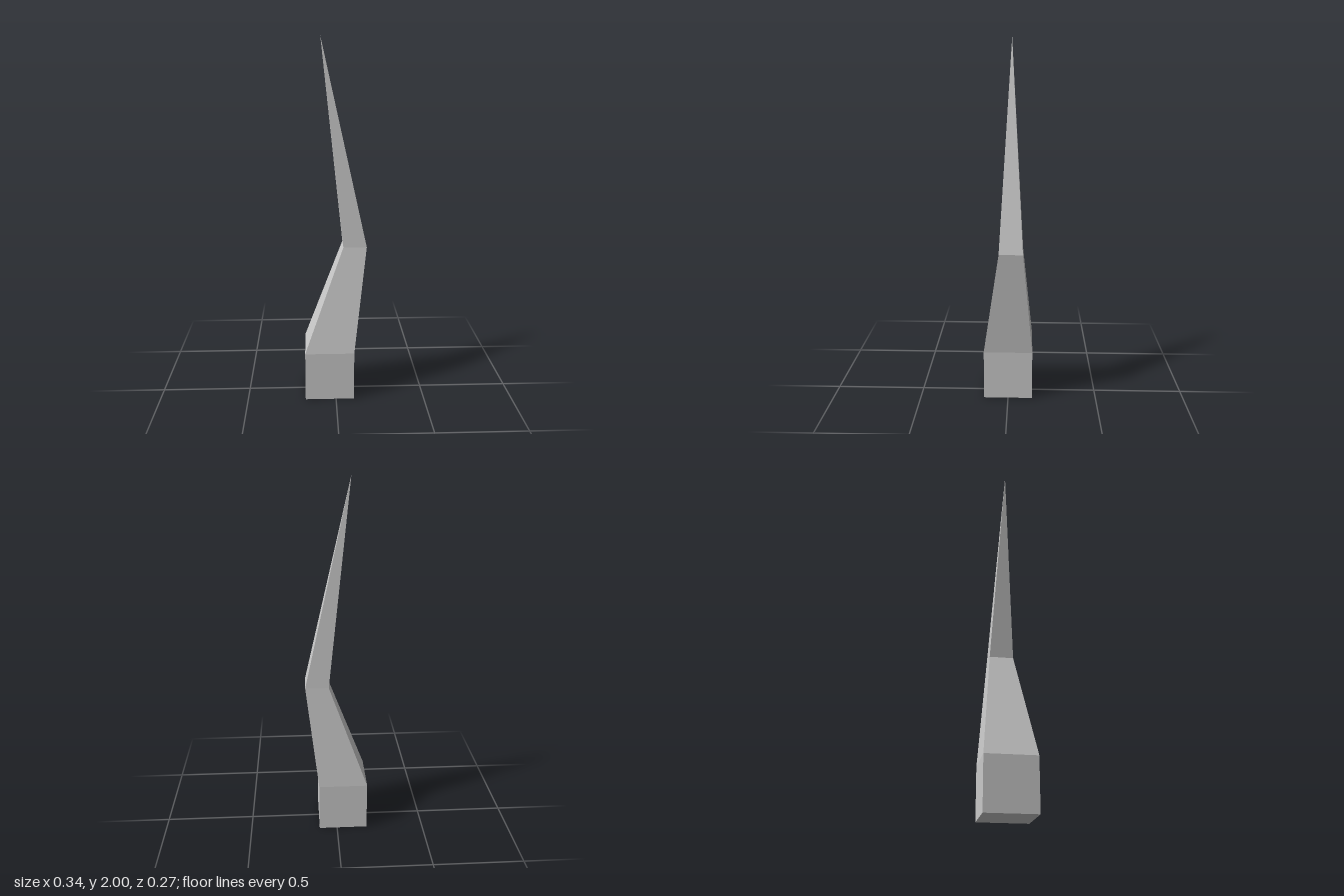
import * as THREE from 'three';

// Four corners of a level rectangle, counter-clockwise from above
const ring = (y, x0, x1, z0, z1) => [[x0, y, z1], [x1, y, z1], [x1, y, z0], [x0, y, z0]];

export function createModel() {
  const group = new THREE.Group();
  group.name = 'bentSpike';

  // Block foot, leaning middle and the bend where the point turns back
  const rings = [
    ring(0, -0.173, 0.102, -0.137, 0.137),
    ring(0.28, -0.173, 0.102, -0.137, 0.137),
    ring(0.875, 0.043, 0.172, -0.082, 0.048),
  ];
  const tip = [-0.077, 2, -0.017];

  const points = [];
  const tri = (a, b, c) => points.push(...a, ...b, ...c);

  // Underside
  const [p, q, r, s] = rings[0];
  tri(p, r, q);
  tri(p, s, r);

  for (let i = 0; i < 4; i++) {
    const j = (i + 1) % 4;
    // Side walls between rings
    for (let k = 0; k < rings.length - 1; k++) {
      const lo = rings[k], hi = rings[k + 1];
      tri(lo[i], lo[j], hi[j]);
      tri(lo[i], hi[j], hi[i]);
    }
    // Pointed end
    tri(rings[2][i], rings[2][j], tip);
  }

  const geometry = new THREE.BufferGeometry();
  geometry.setAttribute('position', new THREE.Float32BufferAttribute(points, 3));
  geometry.computeVertexNormals();

  const spike = new THREE.Mesh(
    geometry,
    new THREE.MeshStandardMaterial({ color: 0xcccccc, flatShading: true })
  );
  spike.name = 'spike';
  group.add(spike);
  return group;
}
